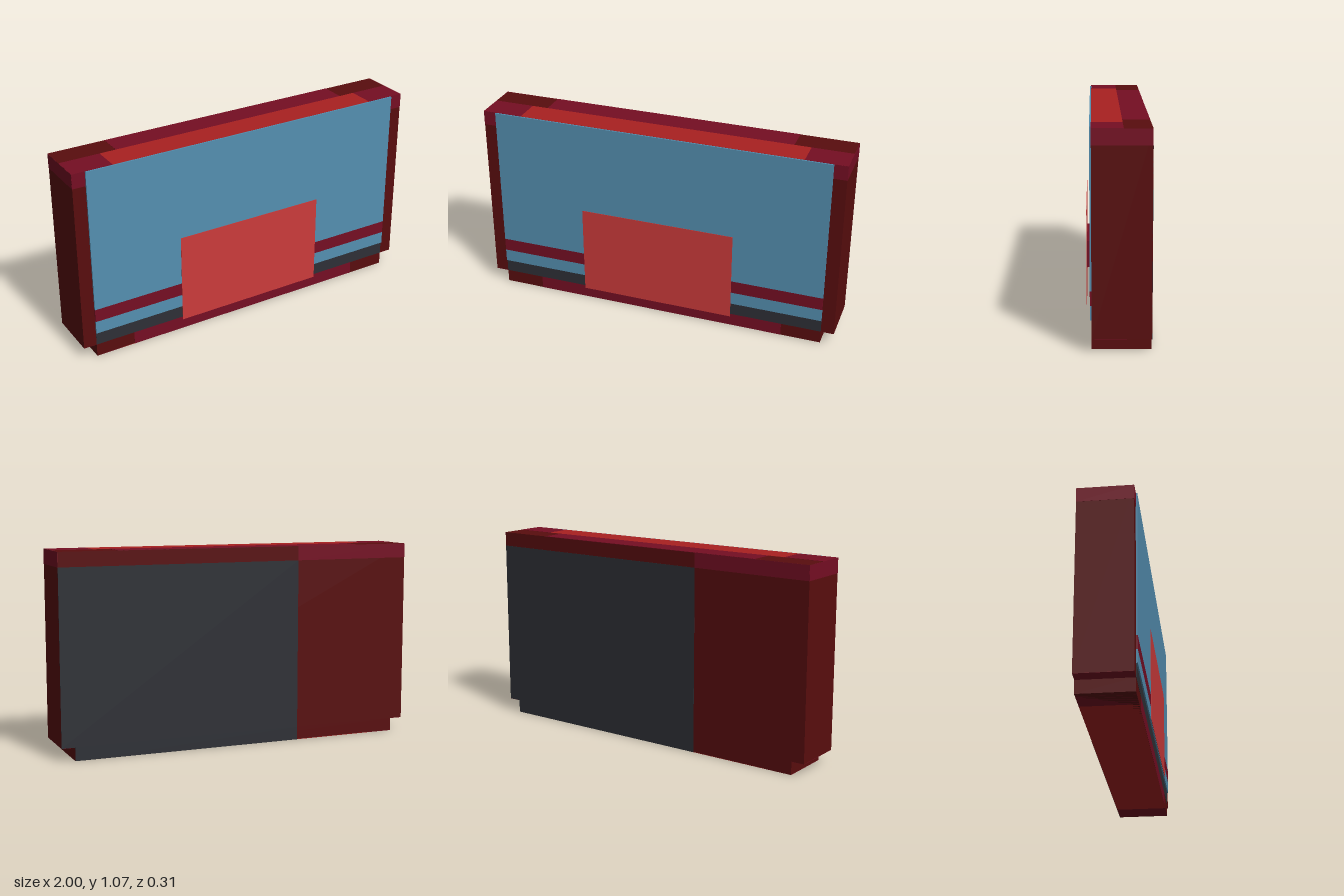
import * as THREE from 'three';

const paint = (name, color) => {
  const m = new THREE.MeshStandardMaterial({ color });
  m.name = name;
  return m;
};

export function createModel() {
  const group = new THREE.Group();
  const dark = paint('dark red', 0x590d0e);
  const maroon = paint('maroon', 0x750e23);
  const red = paint('roof red', 0xa92121);
  const bright = paint('bright red', 0xcc3b3b);
  const blue = paint('blue', 0x548fb1);
  const charcoal = paint('charcoal', 0x2e3036);

  // Box from its extents; a flat extent becomes a very thin painted plate
  const block = (name, material, [x0, x1], [y0, y1], [z0, z1]) => {
    const size = [x1 - x0, y1 - y0, z1 - z0].map(s => Math.max(s, 0.002));
    const mesh = new THREE.Mesh(new THREE.BoxGeometry(...size), material);
    mesh.position.set((x0 + x1) / 2, (y0 + y1) / 2, (z0 + z1) / 2);
    mesh.name = name;
    group.add(mesh);
  };

  const front = 0.13, back = -0.155, top = 1.071, step = 0.071, trim = 0.993;
  const inner = 0.929, split = -0.333, ridge = -0.02;
  const depth = [back, front];

  // Main body and narrower foot
  block('body', dark, [-1, 1], [step, top], depth);
  block('foot', dark, [-inner, inner], [0, step], depth);

  // Roof colours
  block('roofBackStrip', maroon, [-0.69, 0.69], [top, top], [back, ridge]);
  block('roofFrontStrip', red, [-0.78, 0.78], [top, top], [ridge, front]);

  // Mirrored trim on the ends, roof corners and undersides
  for (const s of [-1, 1]) {
    const span = (a, b) => [Math.min(s * a, s * b), Math.max(s * a, s * b)];
    block('roofCorner', maroon, span(0.78, 1), [top, top], [ridge, front]);
    block('endTrim', maroon, span(1, 1), [trim, top], depth);
    block('frontTrim', maroon, span(inner, 1), [trim, top], [front, front]);
    block('bodyUnderside', maroon, span(inner, 1), [step, step], depth);
    block('footUndersideEnd', maroon, span(0.78, inner), [0.001, 0.001], depth);
  }
  block('footUnderside', red, [-0.78, 0.78], [0.001, 0.001], depth);
  block('footFront', maroon, [-0.71, 0.71], [0, step], [front, front]);

  // Back: large charcoal panel and a short trim strip
  block('backPanel', charcoal, [split, 1], [step, trim], [back, back]);
  block('backFootPanel', charcoal, [split, inner], [0, step], [back, back]);
  block('backTrim', maroon, [-1, split], [trim, top], [back, back]);

  // Front panel with stripe and recessed lower band
  const wide = [-inner, inner], skin = [front, 0.138];
  block('frontPanel', blue, wide, [0.286, top], skin);
  block('frontStripe', maroon, wide, [0.214, 0.286], skin);
  block('frontLowerPanel', blue, wide, [0.143, 0.214], skin);
  block('frontBand', charcoal, wide, [step, 0.143], [front, front]);

  // Raised central plate on its hidden mount
  block('plateMount', maroon, [-0.214, 0.214], [0.214, 0.357], [0.138, 0.154]);
  block('centralPlate', bright, [-0.429, 0.429], [step, 0.571], [0.155, 0.155]);

  return group;
}
